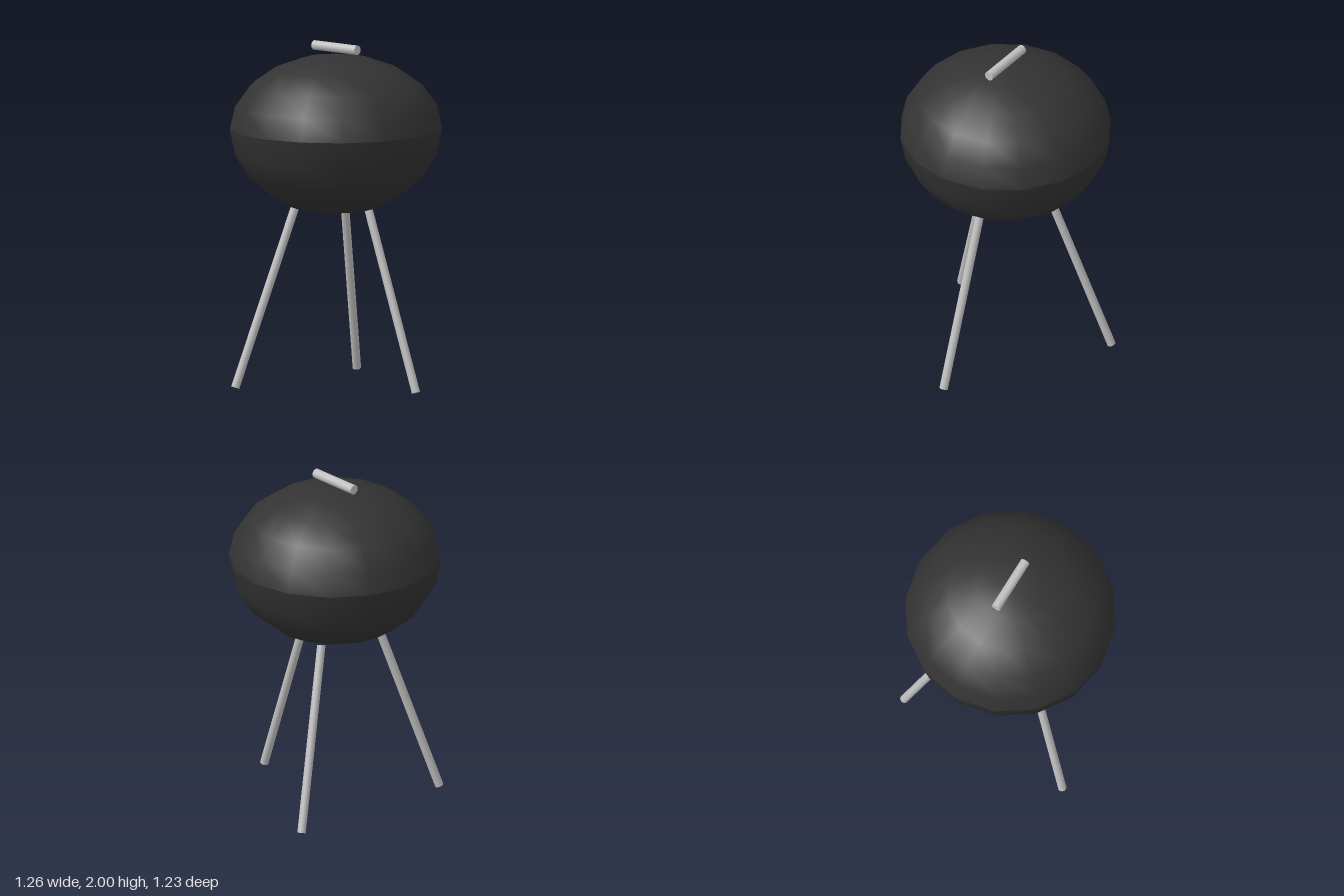
import * as THREE from 'three';
import { mergeVertices } from 'three/addons/utils/BufferGeometryUtils.js';

const CX = -0.013; // axis of the bowl and of the tripod
const SEAM_Y = 1.5;
const RADIUS = 0.617;

const enamel = new THREE.MeshStandardMaterial({ color: 0x333333, side: THREE.DoubleSide });
enamel.name = 'black enamel';
const metal = new THREE.MeshStandardMaterial({ color: 0xc0c0c0 });
metal.name = 'light metal';

// Squashed half sphere with its own smooth normals, so the seam stays visible
function halfShell(name, height, thetaStart) {
  let geo = new THREE.SphereGeometry(RADIUS, 16, 5, 0, Math.PI * 2, thetaStart, Math.PI / 2);
  geo.scale(1, height / RADIUS, 1);
  geo.deleteAttribute('uv');
  geo.deleteAttribute('normal');
  geo = mergeVertices(geo, 1e-4);
  geo.computeVertexNormals();
  const mesh = new THREE.Mesh(geo, enamel);
  mesh.name = name;
  mesh.position.set(CX, SEAM_Y, 0);
  return mesh;
}

// Round rod between two points
function rod(name, a, b, radius) {
  const dir = b.clone().sub(a);
  const mesh = new THREE.Mesh(new THREE.CylinderGeometry(radius, radius, dir.length(), 12), metal);
  mesh.name = name;
  mesh.position.copy(a).add(b).multiplyScalar(0.5);
  mesh.quaternion.setFromUnitVectors(new THREE.Vector3(0, 1, 0), dir.normalize());
  return mesh;
}

export function createModel() {
  const group = new THREE.Group();
  group.name = 'kettleGrill';

  group.add(halfShell('lid', 0.43, 0));
  group.add(halfShell('bowl', 0.495, Math.PI / 2));

  // Handle bar above the lid
  group.add(rod('handle', new THREE.Vector3(-0.18, 1.972, 0), new THREE.Vector3(0.153, 1.972, 0), 0.028));

  // Three splayed legs
  ['leftLeg', 'frontRightLeg', 'backRightLeg'].forEach((name, i) => {
    const angle = (i * Math.PI * 2) / 3;
    const at = (r, y) => new THREE.Vector3(CX + r * Math.cos(angle), y, r * Math.sin(angle));
    group.add(rod(name, at(0.617, 0.009), at(0.253, 1.042), 0.025));
  });

  return group;
}
